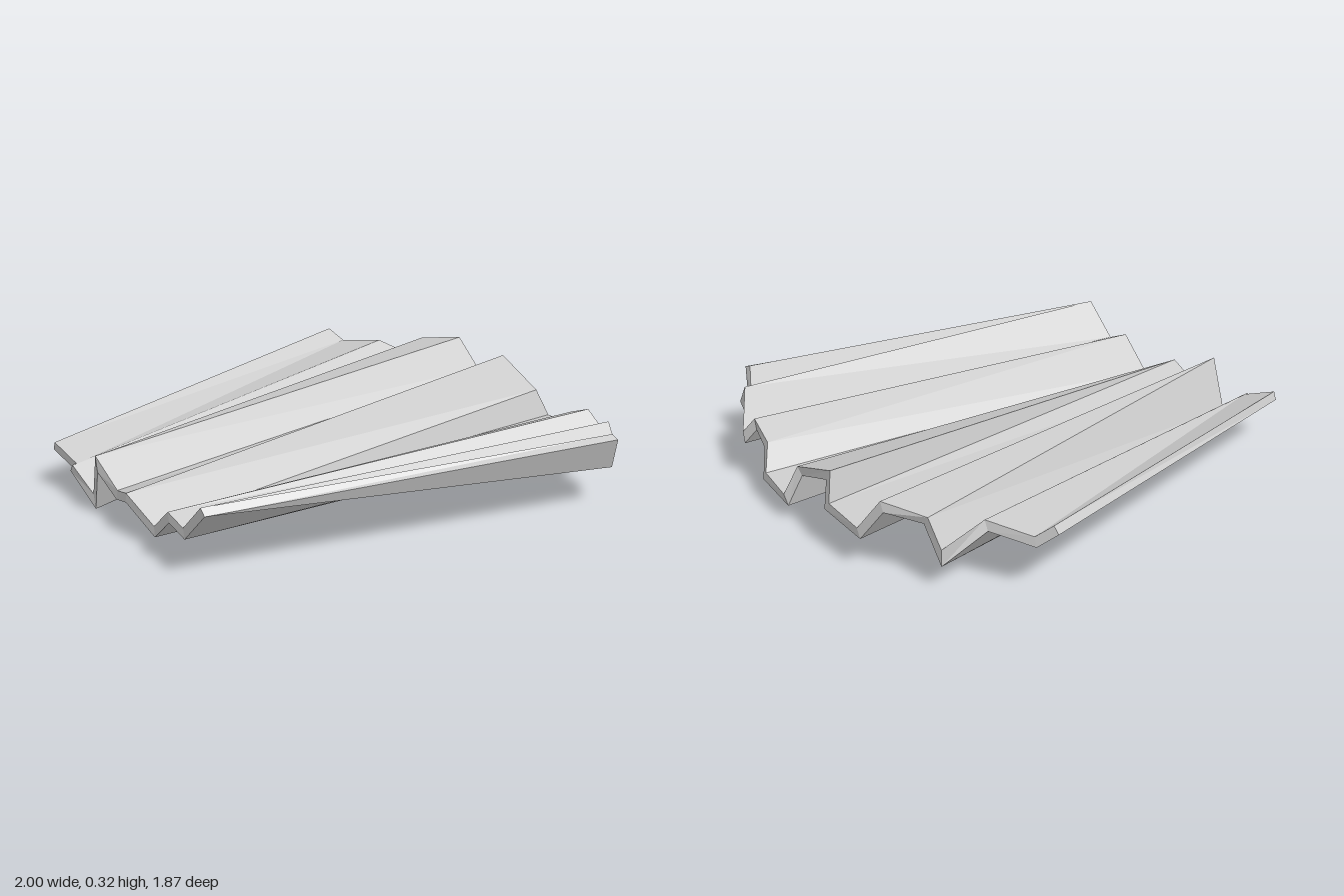
import * as THREE from 'three';

const THICKNESS = 0.036;

// Fold lines from front to back: [x, z, y] at the wide end, [x, z, y] at the narrow end
const FOLDS = [
  [[0.62, 0.90, 0.31], [-1, 0.505, 0.305]],
  [[0.65, 0.86, 0.20], [-1, 0.505, 0.305]],
  [[0.735, 0.815, 0.21], [-1, 0.505, 0.305]],
  [[0.74, 0.765, 0.29], [-1, 0.505, 0.305]],
  [[0.87, 0.60, 0.185], [-0.99, 0.365, 0.17]],
  [[0.845, 0.55, 0.25], [-1, 0.28, 0.205]],
  [[0.87, 0.43, 0.195], [-1, 0.28, 0.205]],
  [[0.93, 0.365, 0.105], [-0.97, 0.125, 0.08]],
  [[0.965, 0.20, 0.085], [-0.97, 0.125, 0.08]],
  [[0.92, 0.165, 0.20], [-0.97, 0.125, 0.08]],
  [[0.95, -0.085, 0.28], [-1, -0.02, 0.17]],
  [[0.98, -0.11, 0.165], [-1, -0.02, 0.17]],
  [[1.0, -0.30, 0.145], [-0.97, -0.14, 0.13]],
  [[0.965, -0.395, 0.275], [-1, -0.245, 0.245]],
  [[0.885, -0.56, 0.245], [-1, -0.245, 0.245]],
  [[0.88, -0.625, 0.14], [-0.97, -0.335, 0.045]],
  [[0.73, -0.685, 0.23], [-1, -0.44, 0.14]],
  [[0.65, -0.855, 0.20], [-0.98, -0.44, 0.14]],
  [[0.61, -0.91, 0.25], [-1, -0.58, 0.19]],
];

// Mitred offset of a zigzag profile towards its underside
function underside(profile) {
  const apart = (a, b) => Math.hypot(a.z - b.z, a.y - b.y) > 1e-4;
  const normal = (a, b) => new THREE.Vector2(a.y - b.y, b.z - a.z).normalize();
  return profile.map((p, i) => {
    const prev = profile.slice(0, i).reverse().find((q) => apart(p, q));
    const next = profile.slice(i + 1).find((q) => apart(p, q));
    const n1 = prev ? normal(prev, p) : normal(p, next);
    const n2 = next ? normal(p, next) : n1;
    const miter = n1.clone().add(n2).multiplyScalar(THICKNESS / Math.max(0.55, 1 + n1.dot(n2)));
    return new THREE.Vector3(p.x, p.y + miter.y, p.z + miter.x);
  });
}

function pleatedSheetGeometry() {
  const [wide, narrow] = [0, 1].map((end) =>
    FOLDS.map((fold) => new THREE.Vector3(fold[end][0], fold[end][2], fold[end][1])));
  const wideLow = underside(wide);
  const narrowLow = underside(narrow);
  const positions = [];
  const tri = (a, b, c) => {
    const area = b.clone().sub(a).cross(c.clone().sub(a)).length();
    if (area > 1e-7) for (const v of [a, b, c]) positions.push(v.x, v.y, v.z);
  };
  const quad = (a, b, c, d) => { tri(a, b, c); tri(a, c, d); };

  const last = FOLDS.length - 1;
  for (let i = 0; i < last; i++) {
    const j = i + 1;
    quad(wide[i], wide[j], narrow[j], narrow[i]); // upper face
    tri(wideLow[i], narrowLow[j], wideLow[j]); // lower face
    tri(wideLow[i], narrowLow[i], narrowLow[j]);
    quad(wideLow[i], wideLow[j], wide[j], wide[i]); // wide end edge
    quad(narrow[i], narrow[j], narrowLow[j], narrowLow[i]); // narrow end edge
  }
  // front and back long edges
  quad(wide[0], narrow[0], narrowLow[0], wideLow[0]);
  quad(wide[last], wideLow[last], narrowLow[last], narrow[last]);

  const geometry = new THREE.BufferGeometry();
  geometry.setAttribute('position', new THREE.Float32BufferAttribute(positions, 3));
  geometry.computeBoundingBox();
  const { min, max } = geometry.boundingBox;
  geometry.translate(0, -min.y, -(min.z + max.z) / 2);
  geometry.computeVertexNormals();
  return geometry;
}

export function createModel() {
  const group = new THREE.Group();
  group.name = 'pleatedPanel';
  const material = new THREE.MeshStandardMaterial({
    color: 0xcccccc, flatShading: true, side: THREE.DoubleSide,
  });
  const sheet = new THREE.Mesh(pleatedSheetGeometry(), material);
  sheet.name = 'pleatedSheet';
  group.add(sheet);
  return group;
}
